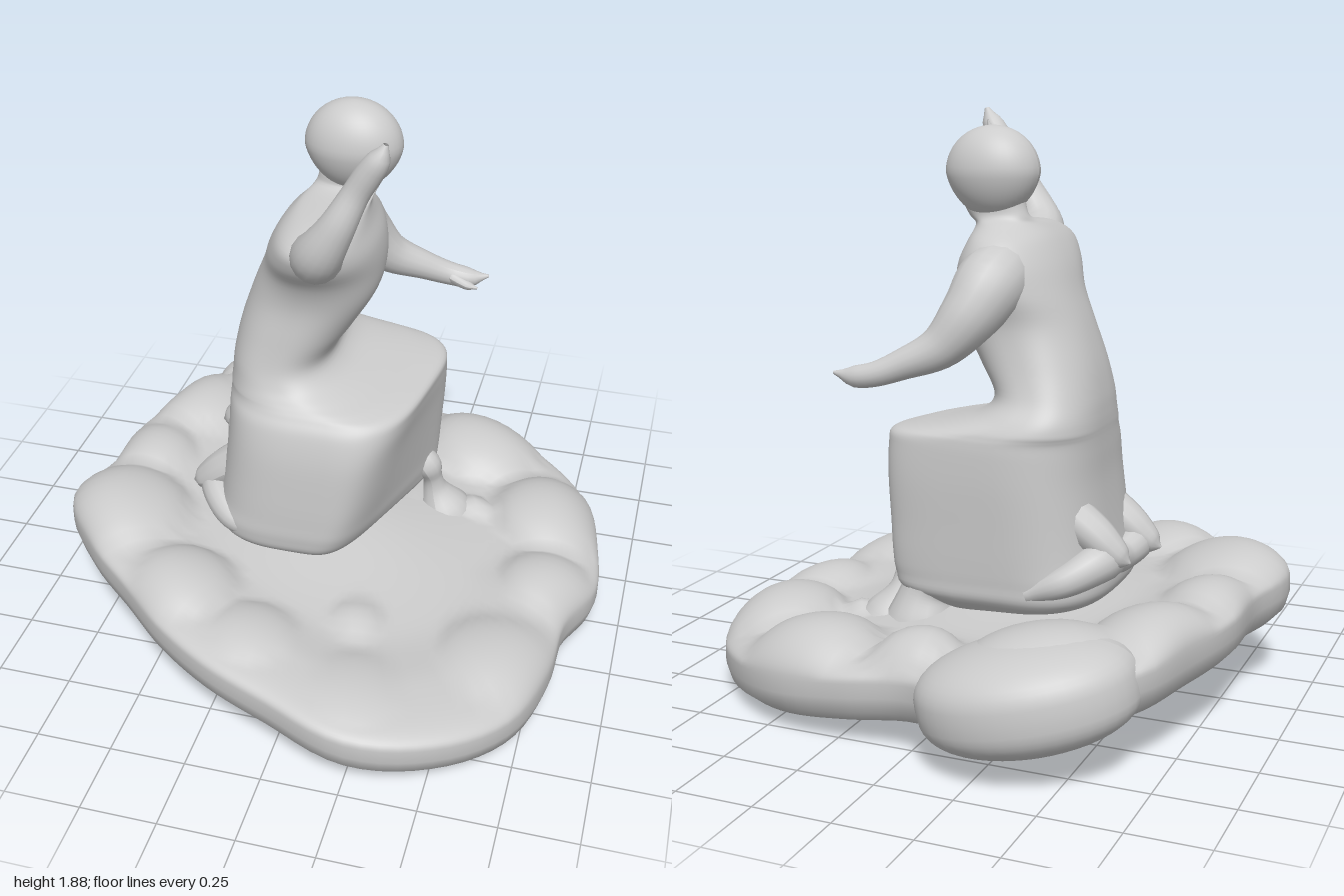
import * as THREE from 'three';

const material = new THREE.MeshStandardMaterial({ color: 0xcccccc, roughness: 0.8, side: THREE.DoubleSide });

function add(parent, name, geometry) {
  const mesh = new THREE.Mesh(geometry, material);
  mesh.name = name;
  parent.add(mesh);
  return mesh;
}

// Smooth curve through a list of equal-length rows, t from 0 to 1
function spline(rows, t, closed = false) {
  const n = rows.length;
  const f = t * (closed ? n : n - 1);
  const i = closed ? Math.floor(f) : Math.min(Math.floor(f), n - 2);
  const u = f - i;
  const at = k => rows[closed ? (k + n) % n : Math.max(0, Math.min(n - 1, k))];
  return rows[0].map((_, c) => {
    const [a, b, d, e] = [at(i - 1)[c], at(i)[c], at(i + 1)[c], at(i + 2)[c]];
    return b + 0.5 * u * (d - a + u * (2 * a - 5 * b + 4 * d - e + u * (3 * (b - d) + e - a)));
  });
}

// Skin over closed loops; point(row, angle) gives [x, y, z], rows run upward
function loft(rowCount, sides, point) {
  const positions = [], index = [];
  for (let i = 0; i < rowCount; i++) {
    for (let j = 0; j < sides; j++) {
      positions.push(...point(i, (j / sides) * Math.PI * 2));
      if (i === rowCount - 1) continue;
      const a = i * sides + j, b = i * sides + (j + 1) % sides;
      index.push(a, a + sides, b, b, a + sides, b + sides);
    }
  }
  const g = new THREE.BufferGeometry();
  g.setAttribute('position', new THREE.Float32BufferAttribute(positions, 3));
  g.setIndex(index);
  g.computeVertexNormals();
  return g;
}

// Tapered tube through [x, y, z, radius] points
function limb(points, segments = 32, sides = 16) {
  const curve = new THREE.CatmullRomCurve3(points.map(p => new THREE.Vector3(p[0], p[1], p[2])));
  const g = new THREE.TubeGeometry(curve, segments, 1, sides);
  const pos = g.attributes.position, v = new THREE.Vector3();
  for (let i = 0; i <= segments; i++) {
    const u = i / segments, centre = curve.getPointAt(u);
    const r = Math.max(0.001, spline(points.map(p => [p[3]]), curve.getUtoTmapping(u))[0]);
    for (let j = 0; j <= sides; j++) {
      const k = i * (sides + 1) + j;
      v.fromBufferAttribute(pos, k).sub(centre).multiplyScalar(r).add(centre);
      pos.setXYZ(k, v.x, v.y, v.z);
    }
  }
  g.computeVertexNormals();
  return g;
}

// Unit sphere whose vertices are moved by a rule
function shapedSphere(rule) {
  const g = new THREE.SphereGeometry(1, 40, 28);
  const pos = g.attributes.position;
  for (let i = 0; i < pos.count; i++) pos.setXYZ(i, ...rule(pos.getX(i), pos.getY(i), pos.getZ(i)));
  g.computeVertexNormals();
  return g;
}

// Cloud outline radii every 15 degrees, from +x towards +z
const outline = [0.91, 0.86, 0.94, 1.03, 1.06, 1.04, 0.93, 0.88, 0.85, 0.84, 0.89, 0.945,
  0.86, 0.88, 0.91, 0.99, 1.0, 0.93, 0.82, 0.85, 0.91, 0.94, 0.95, 0.92].map(r => [r]);

// Puffs on the cloud: x, z, radius, height above the tilted underside
const puffs = [[0.02, -0.68, 0.17, 0.25], [0.4, -0.64, 0.26, 0.265], [0.72, -0.3, 0.26, 0.265],
  [0.76, 0.08, 0.22, 0.235], [0.68, 0.5, 0.28, 0.225], [0.26, 0.82, 0.28, 0.195], [-0.12, 0.7, 0.22, 0.21],
  [-0.4, 0.55, 0.23, 0.235], [-0.72, 0.26, 0.28, 0.25], [-0.74, -0.1, 0.2, 0.23],
  [-0.67, -0.46, 0.25, 0.25], [-0.4, -0.72, 0.3, 0.27], [0.18, 0.48, 0.14, 0.19], [0.43, -0.25, 0.09, 0.2]];

function cloudGeometry() {
  const topRows = 38;
  const lower = [[0, -0.01], [0.5, -0.02], [0.86, -0.022], [0.94, -0.012], [0.985, 0.025], [1, 0.075]];
  return loft(lower.length + topRows, 120, (i, angle) => {
    const R = spline(outline, angle / (Math.PI * 2), true)[0];
    const top = i >= lower.length;
    const t = top ? Math.cos(((i - lower.length) / (topRows - 1)) * Math.PI / 2) : lower[i][0];
    const x = Math.cos(angle) * R * t, z = Math.sin(angle) * R * t;
    let h = top ? 0 : lower[i][1];
    if (top) {
      const rim = THREE.MathUtils.smoothstep(t, 0.55, 0.8);
      h = 0.148 + 0.03 * rim + 0.075 * Math.exp(-(x * x + z * z) / 0.13);
      for (const [px, pz, r, height] of puffs) {
        const q = 1 - ((x - px) ** 2 + (z - pz) ** 2) / (r * r);
        if (q > 0) h = Math.max(h, height * Math.pow(q, 0.3));
      }
      const e = Math.max(0, (t - 0.72) / 0.28);
      h = 0.12 + (h - 0.12) * Math.pow(Math.max(0, 1 - e ** 3), 0.4);
    }
    return [x, 0.125 - 0.125 * x + 0.01 * z + h, z];
  });
}

// Robe sections: y, back x, front x, min z, max z, front squareness, front skew
const robe = [
  [0.28, -0.3, 0.08, -0.28, 0.2, 3, 0.2], [0.35, -0.4, 0.17, -0.35, 0.31, 5, 0.36],
  [0.41, -0.42, 0.2, -0.36, 0.333, 5.5, 0.34], [0.48, -0.4, 0.215, -0.365, 0.335, 5.5, 0.31],
  [0.58, -0.385, 0.235, -0.37, 0.333, 5, 0.27],
  [0.72, -0.37, 0.26, -0.377, 0.325, 4.5, 0.22], [0.82, -0.367, 0.28, -0.378, 0.305, 3.8, 0.18],
  [0.865, -0.366, 0.28, -0.376, 0.28, 3.4, 0.16], [0.885, -0.366, 0.22, -0.373, 0.265, 3, 0.12],
  [0.905, -0.366, 0.12, -0.367, 0.25, 2.8, 0.06], [0.94, -0.364, 0.02, -0.348, 0.23, 2.6, 0],
  [1.0, -0.357, -0.02, -0.31, 0.212, 2.5, 0], [1.1, -0.335, 0.04, -0.282, 0.2, 2.4, 0],
  [1.22, -0.295, 0.11, -0.27, 0.195, 2.3, 0], [1.32, -0.255, 0.13, -0.295, 0.225, 2.2, 0],
  [1.41, -0.22, 0.125, -0.295, 0.29, 2.2, 0], [1.48, -0.18, 0.1, -0.255, 0.3, 2.2, 0],
  [1.525, -0.14, 0.09, -0.18, 0.2, 2, 0], [1.55, -0.11, 0.095, -0.14, 0.0, 2, 0],
  [1.59, -0.095, 0.115, -0.135, -0.025, 2, 0], [1.65, -0.09, 0.13, -0.14, -0.02, 2, 0]];

function robeGeometry() {
  const rows = 100;
  return loft(rows, 80, (i, angle) => {
    const [y, x0, x1, z0, z1, front, skew] = spline(robe, i / (rows - 1));
    // the back stays round while the front is squarer
    const power = Math.cos(angle) < 0 ? Math.min(front, 2.9) : front;
    const bend = v => Math.sign(v) * Math.pow(Math.abs(v), 2 / power);
    const cx = bend(Math.cos(angle));
    const z = (z0 + z1) / 2 + bend(Math.sin(angle)) * (z1 - z0) / 2;
    const x = (x0 + x1) / 2 + cx * (x1 - x0) / 2 - skew * z * Math.max(0, cx);
    // the lap rim climbs slightly towards -z
    const lap = Math.exp(-(((y - 0.88) / 0.12) ** 2));
    return [x, y - 0.05 * lap * z * Math.max(0, cx), z];
  });
}

export function createModel() {
  const model = new THREE.Group();
  model.name = 'seatedFigureOnCloud';

  // Cloud with one large overhanging puff at the back
  const cloud = new THREE.Group();
  cloud.name = 'cloud';
  model.add(cloud);
  add(cloud, 'cloudBase', cloudGeometry());
  const puff = add(cloud, 'overhangingPuff',
    shapedSphere((x, y, z) => [x * 0.335, Math.sign(y) * Math.abs(y) ** 0.7 * 0.165, z * 0.245]));
  puff.position.set(-0.37, 0.245, -0.74);
  puff.rotation.set(0, 0.25, -0.19);

  // Figure faces +x
  const figure = new THREE.Group();
  figure.name = 'figure';
  model.add(figure);
  add(figure, 'robe', robeGeometry());

  // Head, slightly narrowed towards the chin
  add(figure, 'head', shapedSphere((x, y, z) => {
    const s = y < 0 ? 1 + 0.15 * y : 1;
    return [x * 0.157 * s + 0.017, y * 0.148 + 1.692, z * 0.116 * s - 0.08];
  }));

  // Raised arm
  add(figure, 'raisedArm', limb([[-0.05, 1.41, 0.1, 0.09], [-0.025, 1.44, 0.21, 0.085],
    [0.005, 1.495, 0.305, 0.078], [0.07, 1.61, 0.335, 0.057], [0.125, 1.72, 0.32, 0.043],
    [0.165, 1.79, 0.32, 0.042], [0.195, 1.84, 0.325, 0.034], [0.213, 1.885, 0.325, 0.008]]));
  add(figure, 'raisedThumb', limb([[0.15, 1.75, 0.305, 0.025], [0.17, 1.8, 0.27, 0.02],
    [0.18, 1.845, 0.255, 0.003]], 12, 10));

  // Arm reaching forward from a wide sleeve
  add(figure, 'reachingArm', limb([[-0.07, 1.41, -0.14, 0.09], [-0.05, 1.36, -0.25, 0.113],
    [-0.01, 1.27, -0.325, 0.095], [0.07, 1.17, -0.37, 0.07], [0.18, 1.115, -0.41, 0.05],
    [0.27, 1.08, -0.435, 0.04], [0.34, 1.07, -0.44, 0.034], [0.405, 1.08, -0.45, 0.005]]));
  add(figure, 'reachingThumb', limb([[0.28, 1.08, -0.42, 0.025], [0.34, 1.055, -0.41, 0.017],
    [0.375, 1.05, -0.405, 0.003]], 12, 10));

  // Bunched cloth winding around the back hem
  add(figure, 'backHem', limb([[-0.2, 0.39, -0.33, 0.03], [-0.32, 0.44, -0.31, 0.05],
    [-0.41, 0.49, -0.21, 0.065], [-0.4, 0.46, -0.1, 0.05], [-0.39, 0.44, 0.02, 0.055],
    [-0.41, 0.46, 0.13, 0.06], [-0.32, 0.42, 0.25, 0.05], [-0.2, 0.39, 0.28, 0.03]], 60, 14));
  for (const [y, z] of [[0.53, -0.2], [0.49, 0.13]]) {
    add(figure, 'clothFold', limb([[-0.31, y + 0.09, z, 0.07], [-0.38, y + 0.04, z, 0.065],
      [-0.43, y, z, 0.055], [-0.475, y - 0.03, z, 0.035], [-0.5, y - 0.04, z, 0.003]], 20, 12));
  }

  // Cloth trailing from the front hem to the cloud
  add(figure, 'frontDrape', limb([[0.2, 0.5, -0.2, 0.03], [0.26, 0.43, -0.2, 0.05],
    [0.28, 0.37, -0.21, 0.035], [0.29, 0.31, -0.22, 0.05], [0.32, 0.22, -0.23, 0.1]], 20, 14));
  add(figure, 'innerDrape', limb([[0.12, 0.42, -0.25, 0.1], [0.17, 0.34, -0.26, 0.09],
    [0.19, 0.24, -0.27, 0.12]], 16, 14));
  return model;
}
